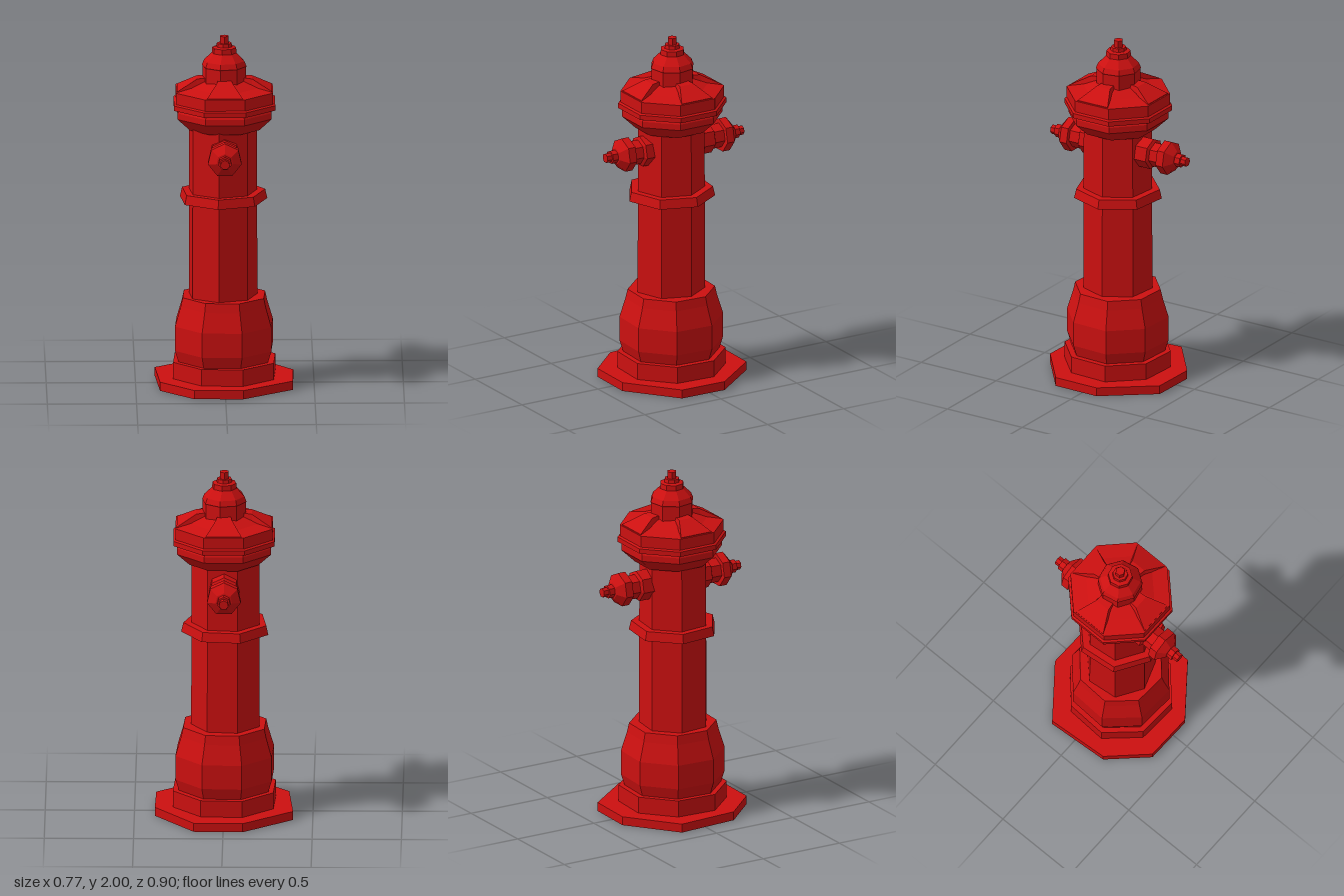
import * as THREE from 'three';

const red = new THREE.MeshStandardMaterial({ color: 0xcc1010, flatShading: true });

// Faceted turned part: profile rows are [radius, y], bottom to top
function turned(name, rows, sides, startAngle, x = 0, z = 0) {
  const points = rows.map(([r, y]) => new THREE.Vector2(r, y));
  const mesh = new THREE.Mesh(new THREE.LatheGeometry(points, sides, startAngle), red);
  mesh.name = name;
  mesh.position.set(x, 0, z);
  return mesh;
}

// Raised rib on the bonnet: cross-sections of [z, yTop, halfTop, yBottom, halfBottom]
function ribGeometry() {
  const sections = [
    [0.08, 1.77, 0.035, 1.68, 0.05],
    [0.155, 1.762, 0.045, 1.68, 0.07],
    [0.265, 1.702, 0.1, 1.68, 0.105],
  ];
  const pos = [];
  const index = [];
  for (const [z, yt, ht, yb, hb] of sections) {
    pos.push(-hb, yb, z, -ht, yt, z, ht, yt, z, hb, yb, z);
  }
  for (let s = 0; s < sections.length - 1; s++) {
    for (let k = 0; k < 3; k++) {
      const a = s * 4 + k, b = a + 4;
      index.push(a, b, a + 1, a + 1, b, b + 1);
    }
  }
  const e = (sections.length - 1) * 4;
  index.push(e, e + 3, e + 2, e, e + 2, e + 1);
  const geo = new THREE.BufferGeometry();
  geo.setAttribute('position', new THREE.Float32BufferAttribute(pos, 3));
  geo.setIndex(index);
  geo.computeVertexNormals();
  return geo;
}

export function createModel() {
  const model = new THREE.Group();
  model.name = 'fireHydrant';
  const eighth = Math.PI / 8;

  // Uneven eight-sided ground plate
  const outline = [[0.165, -0.375], [0.385, -0.095], [0.38, 0.18], [0.1, 0.4],
    [-0.175, 0.395], [-0.365, 0.195], [-0.39, -0.16], [-0.11, -0.38]];
  const plateShape = new THREE.Shape(outline.map(([x, z]) => new THREE.Vector2(x, -z)));
  const plateGeo = new THREE.ExtrudeGeometry(plateShape, { depth: 0.05, bevelEnabled: false });
  plateGeo.rotateX(-Math.PI / 2);
  const plate = new THREE.Mesh(plateGeo, red);
  plate.name = 'basePlate';
  model.add(plate);

  // Plinth and bulging foot
  model.add(turned('plinth', [[0.305, 0.05], [0.305, 0.145], [0, 0.145]], 8, eighth - 0.05, -0.003, 0.015));
  model.add(turned('foot', [[0.27, 0.14], [0.292, 0.21], [0.292, 0.35], [0.258, 0.46], [0.246, 0.512], [0, 0.512]],
    8, eighth - 0.05, -0.005, 0.015));

  // Seven-sided barrel with its collar
  const quarter = Math.PI / 4;
  model.add(turned('barrel', [[0.198, 0.5], [0.196, 1.5]], 7, quarter, -0.014, 0.02));
  model.add(turned('collar', [[0.19, 1.06], [0.252, 1.06], [0.24, 1.113], [0.19, 1.113]], 7, quarter, -0.012, 0.018));

  // Flared head, rim and bonnet
  model.add(turned('head', [[0, 1.475], [0.21, 1.475], [0.285, 1.545], [0.285, 1.58], [0.275, 1.597],
    [0.307, 1.597], [0.307, 1.625], [0.294, 1.632], [0.294, 1.697], [0.2, 1.715], [0.11, 1.75], [0, 1.75]],
    8, eighth, -0.002, 0.01));

  // Four ribs on the bonnet
  const ribs = new THREE.Group();
  ribs.name = 'bonnetRibs';
  ribs.position.set(-0.002, 0, 0.01);
  const ribGeo = ribGeometry();
  for (let i = 0; i < 4; i++) {
    const rib = new THREE.Mesh(ribGeo, red);
    rib.name = 'bonnetRib';
    rib.rotation.y = i * Math.PI / 2;
    ribs.add(rib);
  }
  model.add(ribs);

  // Top cap and operating nut
  model.add(turned('topCap', [[0.124, 1.7], [0.124, 1.825], [0.127, 1.83], [0.115, 1.86], [0.07, 1.905],
    [0.068, 1.935], [0.045, 1.94], [0.042, 1.96], [0, 1.96]], 8, eighth + 0.2, -0.003, 0.01));
  model.add(turned('topNut', [[0.027, 1.95], [0.027, 2], [0, 2]], 6, 0, -0.003, 0.01));

  // Front and back outlets, built upright and tipped outward
  const outletRows = [[0.088, 0.15], [0.088, 0.225], [0.07, 0.235], [0.07, 0.297], [0.097, 0.297],
    [0.097, 0.343], [0.048, 0.382], [0.038, 0.384], [0.038, 0.418], [0.027, 0.418], [0.027, 0.45], [0, 0.45]];
  for (const side of [1, -1]) {
    const outlet = turned(side > 0 ? 'frontOutlet' : 'backOutlet', outletRows, 7, side > 0 ? Math.PI : 0);
    outlet.rotation.x = side * Math.PI / 2;
    outlet.position.set(-0.004, 1.362, 0);
    model.add(outlet);
  }

  return model;
}
